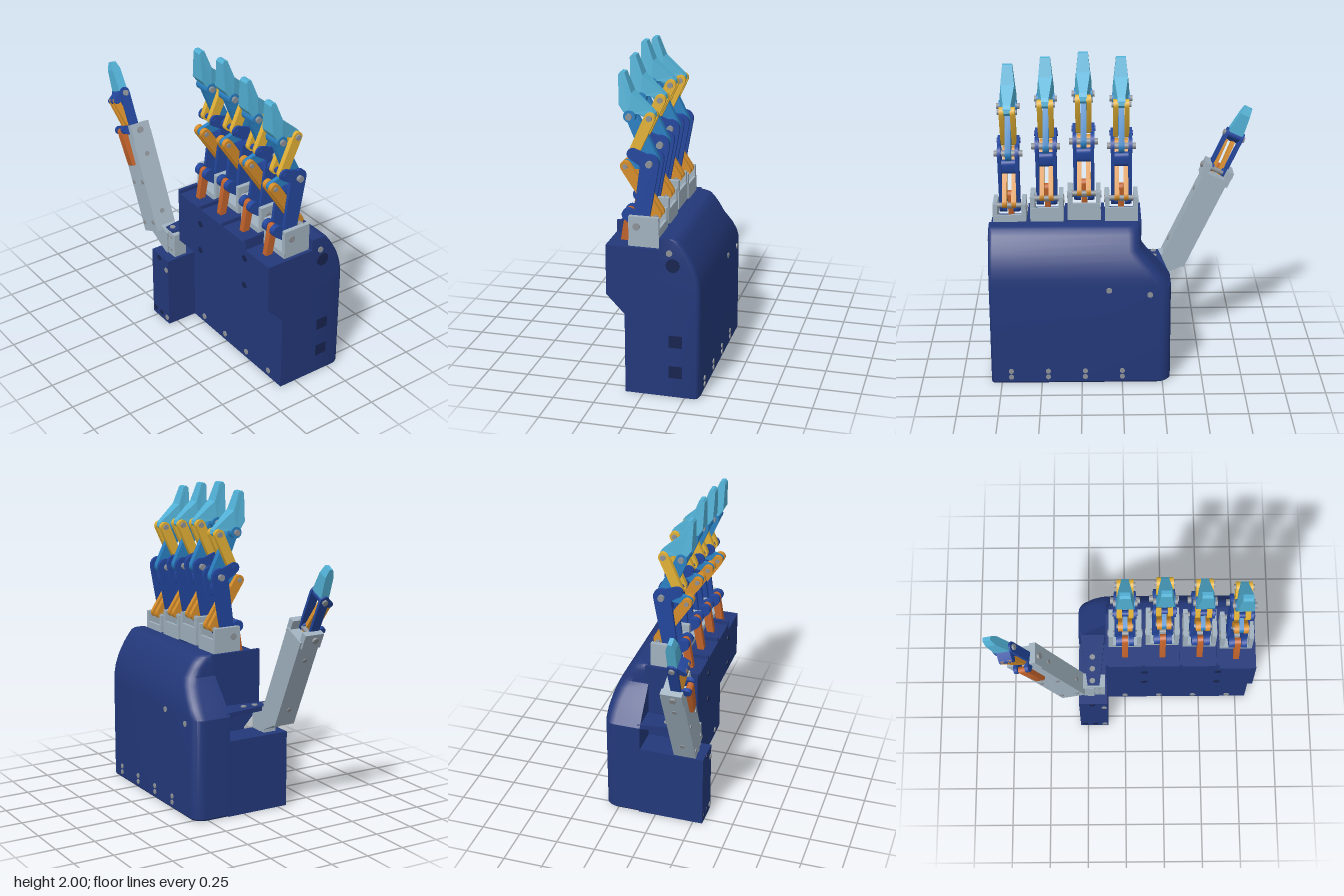
import * as THREE from 'three';
import { toCreasedNormals } from 'three/addons/utils/BufferGeometryUtils.js';

const mat = (name, color) => {
  const m = new THREE.MeshStandardMaterial({ color });
  m.name = name;
  return m;
};
const NAVY = mat('navy', 0x23387a), DARK = mat('dark navy', 0x17244f), ROYAL = mat('royal blue', 0x23469c);
const MID = mat('mid blue', 0x2a80c2), CYAN = mat('sky blue', 0x52b1d6), YELLOW = mat('yellow', 0xe2b136);
const AMBER = mat('amber', 0xd58d2a), RUST = mat('rust', 0xc0622b);
const GREY = mat('light grey', 0xa0b1be), STEEL = mat('steel', 0x8d9297);

function add(parent, name, geometry, material) {
  const m = new THREE.Mesh(geometry, material);
  m.name = name;
  parent.add(m);
  return m;
}

// Box given by its limits
function box(parent, name, material, x0, x1, y0, y1, z0, z1) {
  const g = new THREE.BoxGeometry(x1 - x0, y1 - y0, z1 - z0);
  g.translate((x0 + x1) / 2, (y0 + y1) / 2, (z0 + z1) / 2);
  return add(parent, name, g, material);
}

// Side outline of [z, y] points, extruded from x0 to x1
function plateGeo(pts, x0, x1) {
  const shape = new THREE.Shape(pts.map(([z, y]) => new THREE.Vector2(-z, y)));
  const g = new THREE.ExtrudeGeometry(shape, { depth: x1 - x0, bevelEnabled: false });
  return g.rotateY(Math.PI / 2).translate(x0, 0, 0);
}
const plate = (parent, name, material, pts, x0, x1) => add(parent, name, plateGeo(pts, x0, x1), material);

// Bar with round ends between two [z, y] pivots
function link(parent, name, material, a, b, ra, rb, x0, x1) {
  const d = Math.atan2(b[1] - a[1], b[0] - a[0]), pts = [];
  for (const [c, r, start] of [[a, ra, Math.PI / 2], [b, rb, -Math.PI / 2]])
    for (let i = 0; i <= 8; i++) {
      const t = d + start + (i / 8) * Math.PI;
      pts.push([c[0] + r * Math.cos(t), c[1] + r * Math.sin(t)]);
    }
  return add(parent, name, toCreasedNormals(plateGeo(pts, x0, x1), 0.6), material);
}
function linkPair(parent, name, material, a, b, ra, rb, inner, outer) {
  link(parent, name, material, a, b, ra, rb, inner, outer);
  link(parent, name, material, a, b, ra, rb, -outer, -inner);
}

// Round pin or screw head along an axis
function pin(parent, name, material, x, y, z, r, len, axis = 'x') {
  const g = new THREE.CylinderGeometry(r, r, len, 12);
  if (axis === 'x') g.rotateZ(Math.PI / 2);
  if (axis === 'z') g.rotateX(Math.PI / 2);
  return add(parent, name, g.translate(x, y, z), material);
}

// Rounded rear shell, stacked from horizontal sections [y, left edge, back edge]
function rearShell() {
  const xMax = 0.815, zFront = -0.1, N = 6, pos = [], index = [];
  const sections = [[0, -0.29, -0.33], [0.012, -0.3, -0.34], [0.64, -0.3, -0.34], [0.7, -0.255, -0.338],
    [0.76, -0.205, -0.327], [0.82, -0.15, -0.307], [0.86, -0.12, -0.288], [0.91, -0.118, -0.26],
    [0.95, -0.116, -0.232], [0.98, -0.11, -0.208], [0.99, -0.1, -0.185]];
  for (const [y, x0, z0] of sections) {
    const r = Math.min(0.075, -0.11 - z0), q = 0.03;
    pos.push(x0, y, zFront);
    for (let i = 0; i <= N; i++) {
      const t = (i / N) * Math.PI / 2;
      pos.push(x0 + r - r * Math.cos(t), y, z0 + r - r * Math.sin(t));
    }
    for (let i = 0; i <= N; i++) {
      const t = (i / N) * Math.PI / 2;
      pos.push(xMax - q + q * Math.sin(t), y, z0 + q - q * Math.cos(t));
    }
    pos.push(xMax, y, zFront);
  }
  const n = 2 * N + 4, top = (sections.length - 1) * n;
  for (let k = 0; k < sections.length - 1; k++)
    for (let i = 0; i < n; i++) {
      const a = k * n + i, b = k * n + (i + 1) % n;
      index.push(a, a + n, b, b, a + n, b + n);
    }
  for (let i = 1; i < n - 1; i++) index.push(0, i, i + 1, top, top + i + 1, top + i);
  const g = new THREE.BufferGeometry();
  g.setAttribute('position', new THREE.Float32BufferAttribute(pos, 3));
  g.setIndex(index);
  return toCreasedNormals(g, 0.6);
}

function buildPalm(root) {
  const palm = new THREE.Group();
  palm.name = 'palm';
  root.add(palm);
  add(palm, 'rearShell', rearShell(), NAVY);
  const profile = (top) => [[-0.12, 0], [0.11, 0], [0.11, 0.5], [0.22, 0.615], [0.22, top], [-0.12, top]];
  plate(palm, 'frontShell', NAVY, profile(0.965), -0.12, 0.585);
  plate(palm, 'frontShellLow', NAVY, profile(0.92), 0.585, 0.815);
  // Ridges between the finger seats
  for (const x of [-0.112, 0.115, 0.345, 0.575]) box(palm, 'seatRidge', NAVY, x - 0.01, x + 0.01, 0.9, 0.99, -0.12, 0.22);
  box(palm, 'thumbBlock', NAVY, -0.3, -0.115, 0, 0.485, -0.11, 0.312);
  // Ledge carrying the thumb
  const ledge = new THREE.Shape([[-0.29, 0.12], [-0.13, 0.12], [-0.15, -0.1], [-0.165, -0.24], [-0.24, -0.24], [-0.26, -0.1]]
    .map(([x, y]) => new THREE.Vector2(x, y)));
  const lg = new THREE.ExtrudeGeometry(ledge, { depth: 0.03, bevelEnabled: false }).rotateX(-Math.PI / 2);
  add(palm, 'thumbLedge', lg.translate(0, 0.63, 0), NAVY);
  for (const z of [0.05, 0.13, 0.21]) pin(palm, 'ledgeScrew', STEEL, -0.21, 0.66, z, 0.018, 0.012, 'y');
  // Screws
  for (const x of [0, 0.23, 0.46, 0.69]) {
    pin(palm, 'frontScrew', STEEL, x, 0.045, 0.11, 0.019, 0.012, 'z');
    for (const y of [0.045, 0.085]) pin(palm, 'backScrew', STEEL, x, y, -0.34, 0.016, 0.012, 'z');
  }
  for (const x of [0.12, 0.58]) for (const y of [0.67, 0.86]) pin(palm, 'recessedScrew', DARK, x, y, 0.22, 0.021, 0.008, 'z');
  for (const y of [0.04, 0.41]) pin(palm, 'blockScrew', STEEL, -0.137, y, 0.312, 0.018, 0.01, 'z');
  for (const [x, y] of [[-0.27, 0.045], [-0.2, 0.045], [-0.215, 0.465]]) pin(palm, 'blockHole', DARK, x, y, 0.312, 0.018, 0.008, 'z');
  for (const [x, y] of [[-0.17, 0.6], [0.08, 0.63]]) pin(palm, 'shellScrew', STEEL, x, y, -0.34, 0.018, 0.01, 'z');
  pin(palm, 'sidePort', DARK, 0.815, 0.83, -0.18, 0.042, 0.008);
  pin(palm, 'sideScrew', STEEL, 0.815, 0.905, -0.16, 0.019, 0.012);
  for (const y of [0.355, 0.16]) box(palm, 'sideWindow', DARK, 0.812, 0.817, y - 0.038, y + 0.038, -0.235, -0.155);
}

// Fingertip, narrowed toward its top and its rear lobe
function fingertip() {
  const g = plateGeo([[0.157, 1.91], [0.145, 1.925], [0.122, 1.922], [0.08, 1.81], [-0.03, 1.715], [-0.05, 1.695], [-0.055, 1.67],
    [-0.03, 1.648], [0.04, 1.69], [0.09, 1.69], [0.125, 1.70], [0.152, 1.74]], -1, 1);
  const p = g.attributes.position, clamp = THREE.MathUtils.clamp;
  for (let i = 0; i < p.count; i++) {
    const up = 1 - 0.42 * clamp((p.getY(i) - 1.72) / 0.2, 0, 1);
    const back = 0.45 + 0.55 * clamp((p.getZ(i) + 0.03) / 0.11, 0, 1);
    p.setX(i, p.getX(i) * 0.052 * Math.min(up, back));
  }
  g.computeVertexNormals();
  return g;
}

function buildFinger(root, x, dy) {
  const f = new THREE.Group();
  f.name = 'finger';
  f.position.set(x, dy, 0);
  root.add(f);
  // Seat bracket
  box(f, 'bracketFloor', GREY, -0.1, 0.1, 0.92, 0.955, -0.09, 0.09);
  box(f, 'bracketBack', GREY, -0.1, 0.1, 0.92, 1.03, -0.092, -0.075);
  for (const s of [-1, 1]) {
    box(f, 'bracketSide', GREY, s * 0.088 - 0.014, s * 0.088 + 0.014, 0.92, 1.1, -0.09, 0.088);
    pin(f, 'bracketBolt', STEEL, s * 0.1, 1.04, 0.04, 0.022, 0.014);
  }
  pin(f, 'basePin', STEEL, 0, 1.04, 0.04, 0.016, 0.18);
  pin(f, 'rearBasePin', STEEL, 0, 1.085, -0.06, 0.016, 0.18);
  // Driving tab and proximal bone
  link(f, 'driveTab', RUST, [0.14, 0.9], [0.105, 1.095], 0.022, 0.025, -0.018, 0.018);
  linkPair(f, 'driveHorn', ROYAL, [0.04, 1.04], [0.105, 1.09], 0.035, 0.036, 0.02, 0.055);
  linkPair(f, 'proximalBone', ROYAL, [0.025, 1.06], [-0.03, 1.41], 0.046, 0.055, 0.043, 0.064);
  linkPair(f, 'proximalHorn', ROYAL, [-0.03, 1.41], [0.07, 1.46], 0.045, 0.034, 0.05, 0.066);
  link(f, 'proximalBridge', ROYAL, [-0.01, 1.30], [-0.015, 1.34], 0.025, 0.025, -0.045, 0.045);
  linkPair(f, 'tendonRod', AMBER, [-0.06, 1.10], [0.12, 1.375], 0.032, 0.032, 0.014, 0.042);
  // Middle bone
  link(f, 'middleBone', MID, [-0.03, 1.41], [0.09, 1.675], 0.045, 0.036, -0.018, 0.018);
  link(f, 'middleHorn', MID, [-0.03, 1.41], [0.12, 1.375], 0.04, 0.028, -0.013, 0.013);
  pin(f, 'middleKnuckle', MID, 0, 1.675, 0.09, 0.036, 0.11);
  linkPair(f, 'upperRod', YELLOW, [0.07, 1.46], [-0.025, 1.67], 0.03, 0.032, 0.019, 0.049);
  // Joint pins
  pin(f, 'knucklePin', STEEL, 0, 1.41, -0.03, 0.02, 0.175);
  pin(f, 'hornPin', ROYAL, 0, 1.46, 0.07, 0.018, 0.145);
  pin(f, 'tendonPin', STEEL, 0, 1.375, 0.12, 0.014, 0.1);
  pin(f, 'tipPin', STEEL, 0, 1.675, 0.09, 0.019, 0.14);
  pin(f, 'rearTipPin', STEEL, 0, 1.67, -0.025, 0.017, 0.12);
  add(f, 'fingertip', fingertip(), CYAN);
}

function buildThumb(root) {
  // Wrist plates
  box(root, 'thumbMount', GREY, -0.265, -0.13, 0.49, 0.65, 0.165, 0.25);
  for (let i = 0; i < 3; i++) for (const y of [0.53, 0.62]) pin(root, 'mountHole', STEEL, -0.235 + i * 0.035, y, 0.25, 0.008, 0.008, 'z');
  const web = new THREE.Shape([[-0.4, 0.575], [-0.22, 0.49], [-0.2, 0.49], [-0.2, 0.64], [-0.3, 0.67]].map(([x, y]) => new THREE.Vector2(x, y)));
  add(root, 'thumbWeb', new THREE.ExtrudeGeometry(web, { depth: 0.1, bevelEnabled: false }).translate(0, 0, 0.16), GREY);

  const t = new THREE.Group();
  t.name = 'thumb';
  t.position.set(-0.33, 0.6, 0);
  t.rotation.z = THREE.MathUtils.degToRad(25);
  root.add(t);
  box(t, 'thumbBeam', GREY, -0.08, 0.08, 0, 0.64, 0.155, 0.295);
  for (const s of [-1, 1]) {
    box(t, 'beamEar', GREY, s * 0.075 - 0.02, s * 0.075 + 0.02, 0.6, 0.7, 0.165, 0.295);
    pin(t, 'earBolt', STEEL, s * 0.1, 0.66, 0.24, 0.02, 0.02);
    for (const y of [0.06, 0.33]) pin(t, 'beamScrew', STEEL, s * 0.055, y, 0.295, 0.014, 0.01, 'z');
    for (const y of [0.12, 0.5]) pin(t, 'beamSideScrew', STEEL, s * 0.08, y, 0.225, 0.015, 0.01);
  }
  pin(t, 'basePin', STEEL, 0, 0.66, 0.24, 0.016, 0.19);
  // Drive tab, bone and rods
  link(t, 'driveTab', RUST, [0.305, 0.46], [0.315, 0.67], 0.018, 0.02, -0.026, 0.026);
  linkPair(t, 'driveHorn', ROYAL, [0.255, 0.66], [0.312, 0.68], 0.028, 0.026, 0.026, 0.05);
  linkPair(t, 'thumbBone', ROYAL, [0.25, 0.66], [0.255, 0.91], 0.03, 0.032, 0.042, 0.06);
  linkPair(t, 'tendonRod', AMBER, [0.25, 0.63], [0.315, 0.87], 0.02, 0.02, 0.012, 0.036);
  link(t, 'tipHorn', ROYAL, [0.255, 0.91], [0.315, 0.87], 0.025, 0.02, -0.045, 0.045);
  pin(t, 'tipPin', STEEL, 0, 0.905, 0.255, 0.018, 0.145);
  // Tapered thumb tip
  const g = plateGeo([[0.23, 0.925], [0.285, 0.925], [0.287, 1.06], [0.272, 1.11], [0.248, 1.11], [0.23, 1.06]], -1, 1);
  const p = g.attributes.position;
  for (let i = 0; i < p.count; i++) p.setX(i, p.getX(i) * (0.05 - 0.13 * (p.getY(i) - 0.925)));
  g.computeVertexNormals();
  add(t, 'thumbTip', g, CYAN);
}

export function createModel() {
  const root = new THREE.Group();
  root.name = 'roboticHand';
  buildPalm(root);
  [0.045, 0.075, 0.045, 0].forEach((dy, i) => buildFinger(root, i * 0.23, dy));
  buildThumb(root);
  return root;
}
